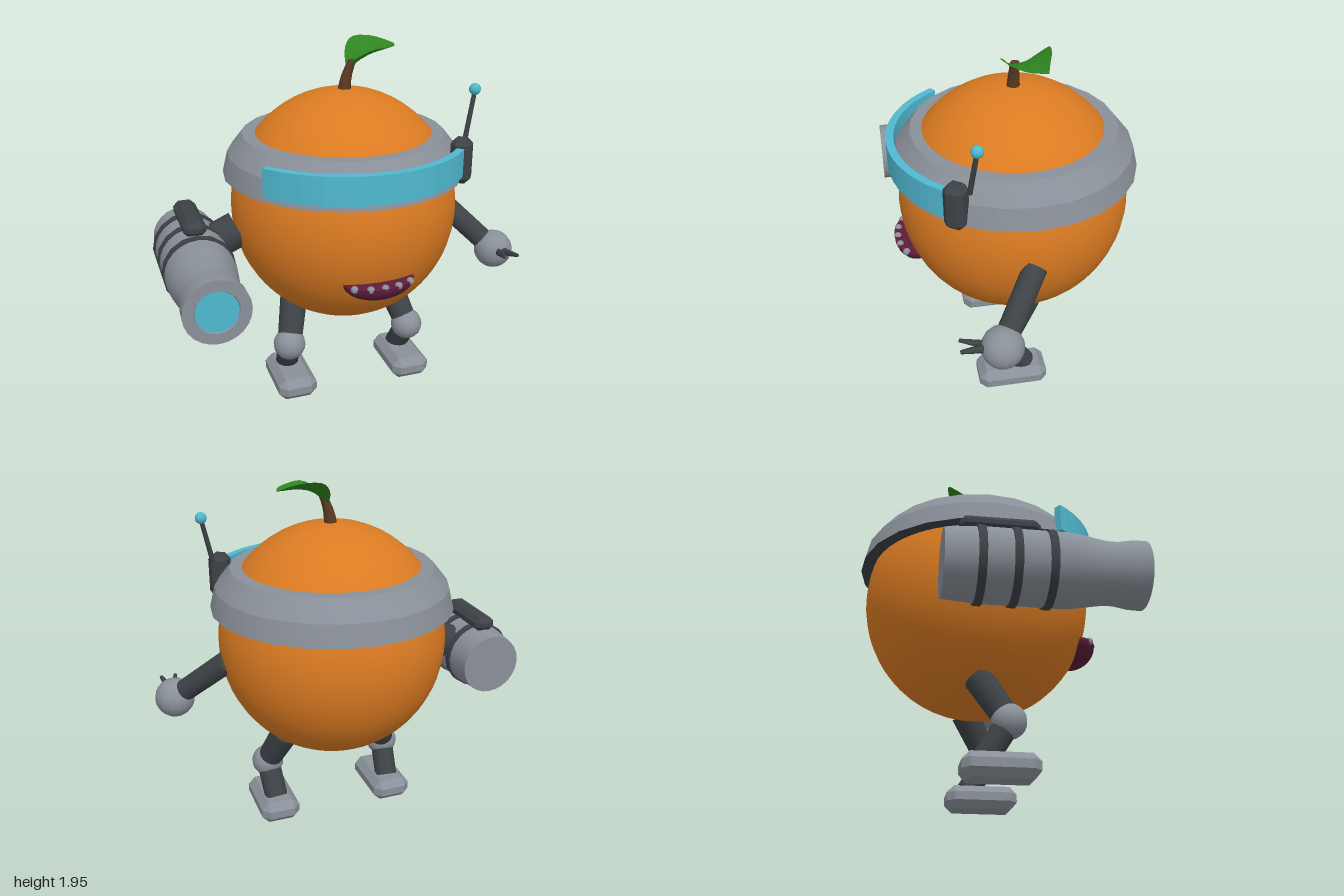
import * as THREE from 'three';
import { toCreasedNormals } from 'three/addons/utils/BufferGeometryUtils.js';
import { ConvexGeometry } from 'three/addons/geometries/ConvexGeometry.js';

const paint = (name, color) => Object.assign(new THREE.MeshStandardMaterial({ color }), { name });
const V = (x, y, z) => new THREE.Vector3(x, y, z);
const CX = 0.04, CZ = -0.015; // body axis

export function createModel() {
  const orange = paint('orange peel', 0xdb7b22);
  const gray = paint('gray metal', 0x8a9099);
  const dark = paint('dark metal', 0x3d4246);
  const cyan = paint('cyan glass', 0x50b9d0);
  const green = paint('leaf green', 0x2f8520);
  const brown = paint('stem brown', 0x5c3a22);
  const maroon = paint('maroon lip', 0x5e1c3a);
  green.side = THREE.DoubleSide;

  const model = new THREE.Group();
  model.name = 'fruitRobot';

  function add(name, geometry, material, x = 0, y = 0, z = 0, parent = model) {
    const mesh = new THREE.Mesh(geometry, material);
    mesh.name = name;
    mesh.position.set(x, y, z);
    parent.add(mesh);
    return mesh;
  }
  const ball = (name, r, material, p, parent) =>
    add(name, new THREE.SphereGeometry(r, 16, 12), material, p.x, p.y, p.z, parent);

  // Cylinder or cone running from a to b
  function rod(name, a, b, ra, rb, material, parent, sides = 16) {
    const dir = b.clone().sub(a);
    const mid = a.clone().add(b).multiplyScalar(0.5);
    const mesh = add(name, new THREE.CylinderGeometry(rb, ra, dir.length(), sides), material, mid.x, mid.y, mid.z, parent);
    mesh.quaternion.setFromUnitVectors(V(0, 1, 0), dir.normalize());
    return mesh;
  }

  // Box with all edges cut off
  function chamferBox(w, h, d, c) {
    const points = [];
    const [x, y, z] = [w / 2, h / 2, d / 2];
    for (const i of [-1, 1]) for (const j of [-1, 1]) for (const k of [-1, 1]) {
      points.push(V(i * x, j * (y - c), k * (z - c)));
      points.push(V(i * (x - c), j * y, k * (z - c)));
      points.push(V(i * (x - c), j * (y - c), k * z));
    }
    return new ConvexGeometry(points);
  }
  const lathe = (profile, sides, crease) => toCreasedNormals(
    new THREE.LatheGeometry(profile.map(([r, y]) => new THREE.Vector2(r, y)), sides), crease);

  // Body
  add('body', new THREE.SphereGeometry(1, 48, 32), orange, CX, 1.069, CZ).scale.set(0.616, 0.636, 0.616);

  // Stem, bent sideways towards its top
  const stem = new THREE.CylinderGeometry(0.022, 0.036, 0.17, 12, 5);
  const sp = stem.attributes.position;
  for (let i = 0; i < sp.count; i++) {
    const t = sp.getY(i) / 0.17 + 0.5;
    sp.setX(i, sp.getX(i) + 0.045 * t * t);
  }
  stem.computeVertexNormals();
  add('stem', stem, brown, 0.045, 1.765, CZ);

  // Leaf, cupped sections of back edge, midrib and front edge
  const sections = [
    [V(0.06, 1.80, -0.03), V(0.06, 1.79, -0.02), V(0.06, 1.80, -0.01)],
    [V(0.09, 1.89, -0.135), V(0.10, 1.835, -0.02), V(0.085, 1.86, 0.035)],
    [V(0.14, 1.94, -0.175), V(0.16, 1.875, -0.03), V(0.17, 1.91, 0.072)],
    [V(0.23, 1.945, -0.165), V(0.25, 1.895, -0.06), V(0.26, 1.91, 0.035)],
    [V(0.31, 1.925, -0.14), V(0.32, 1.90, -0.09), V(0.33, 1.905, -0.03)],
    [V(0.36, 1.905, -0.125), V(0.36, 1.905, -0.12), V(0.36, 1.905, -0.115)],
  ];
  const edges = [0, 1, 2].map(i => new THREE.CatmullRomCurve3(sections.map(s => s[i])));
  const leaf = new THREE.PlaneGeometry(1, 1, 6, 14);
  const lp = leaf.attributes.position;
  for (let i = 0; i < lp.count; i++) {
    const u = lp.getX(i) + 0.5, t = lp.getY(i) + 0.5;
    const rib = new THREE.QuadraticBezierCurve3(...edges.map(e => e.getPoint(t)));
    rib.v1.multiplyScalar(2).addScaledVector(rib.v0, -0.5).addScaledVector(rib.v2, -0.5);
    const p = rib.getPoint(u);
    lp.setXYZ(i, p.x, p.y, p.z);
  }
  leaf.computeVertexNormals();
  add('leaf', leaf, green);

  // Headband with a dark underside
  add('headband', lathe([[0.65, 1.262], [0.622, 1.375], [0.54, 1.477], [0.46, 1.477]], 24, 0.35), gray, CX, 0, -0.02);
  add('headbandUnderside', lathe([[0.57, 1.262], [0.65, 1.262]], 24, 0.35), dark, CX, 0, -0.02);

  // Visor, a curved plate around the front
  const a0 = THREE.MathUtils.degToRad(-145), a1 = THREE.MathUtils.degToRad(-35);
  const arc = new THREE.Shape();
  arc.absarc(0, 0, 0.663, a0, a1, false);
  arc.absarc(0, 0, 0.622, a1, a0, true);
  const visor = new THREE.ExtrudeGeometry(arc, { depth: 0.15, bevelEnabled: false, curveSegments: 12 });
  visor.rotateX(-Math.PI / 2);
  add('visor', visor, cyan, CX, 1.295, -0.02);

  // Ear piece and antenna
  add('earPiece', chamferBox(0.11, 0.24, 0.11, 0.03), dark, 0.562, 1.367, 0.35).rotation.y = 0.96;
  rod('antennaRod', V(0.61, 1.46, 0.29), V(0.665, 1.70, 0.26), 0.014, 0.012, dark, model, 8);
  ball('antennaTip', 0.031, cyan, V(0.667, 1.713, 0.258));

  // Mouth with a row of teeth
  const mouth = new THREE.Group();
  mouth.name = 'mouth';
  mouth.position.set(CX, 0.842, 0.53);
  model.add(mouth);
  add('lip', new THREE.SphereGeometry(1, 24, 8, 0, Math.PI * 2, Math.PI / 2, Math.PI / 2), maroon, 0, 0, 0, mouth)
    .scale.set(0.19, 0.098, 0.115);
  const lipTop = add('lipTop', new THREE.CircleGeometry(1, 24), maroon, 0, 0, 0, mouth);
  lipTop.rotation.x = -Math.PI / 2;
  lipTop.scale.set(0.19, 0.115, 1);
  for (let i = -2; i <= 2; i++) {
    const x = i * 0.075;
    ball('tooth', 0.02, gray, V(x, -0.004, 0.095 * Math.sqrt(1 - (x / 0.19) ** 2)), mouth);
  }

  // Legs, mirrored about the body axis
  for (const s of [1, -1]) {
    const leg = new THREE.Group();
    leg.name = s > 0 ? 'leftLeg' : 'rightLeg';
    leg.position.x = CX;
    model.add(leg);
    const knee = V(0.358 * s, 0.292, 0.10);
    rod('thigh', V(0.285 * s, 0.535, -0.04), knee, 0.078, 0.068, dark, leg);
    ball('knee', 0.09, gray, knee, leg);
    rod('shin', knee, V(0.345 * s, 0.11, -0.015), 0.065, 0.065, dark, leg);
    add('foot', chamferBox(0.22, 0.125, 0.385, 0.04), gray, 0.343 * s, 0.0625, 0.055, leg);
  }

  // Left arm with a ball hand and claws
  const hand = V(0.888, 0.743, 0.188);
  rod('leftArm', V(0.635, 1.0, -0.02), hand, 0.062, 0.06, dark);
  ball('leftHand', 0.108, gray, hand);
  for (const s of [-1, 1]) {
    rod('claw', V(0.888 + 0.012 * s, 0.76, 0.27), V(0.888 + 0.04 * s, 0.782, 0.395), 0.024, 0.01, dark, model, 6);
  }

  // Right arm carrying a cannon
  rod('rightArm', V(-0.56, 0.985, -0.015), V(-0.80, 0.88, -0.015), 0.098, 0.098, dark);
  const cannon = new THREE.Group();
  cannon.name = 'cannon';
  cannon.position.set(-0.81, 0.876, 0);
  model.add(cannon);
  const barrel = lathe([[0, -0.29], [0.166, -0.29], [0.18, -0.12], [0.18, 0.3], [0.172, 0.36],
    [0.152, 0.48], [0.152, 0.53], [0.164, 0.6], [0.166, 0.665], [0.11, 0.665], [0.105, 0.655]], 24, 0.6);
  add('barrel', barrel.rotateX(Math.PI / 2), gray, 0, 0, 0, cannon);
  add('lens', new THREE.CircleGeometry(0.107, 24), cyan, 0, 0, 0.657, cannon);
  for (const z of [-0.12, 0.042, 0.205]) {
    const ring = new THREE.CylinderGeometry(0.19, 0.19, 0.038, 16).rotateX(Math.PI / 2);
    add('barrelRing', ring, dark, 0, 0, z, cannon);
  }
  add('topRail', chamferBox(0.118, 0.08, 0.385, 0.028), dark, 0, 0.205, -0.018, cannon);

  return model;
}
